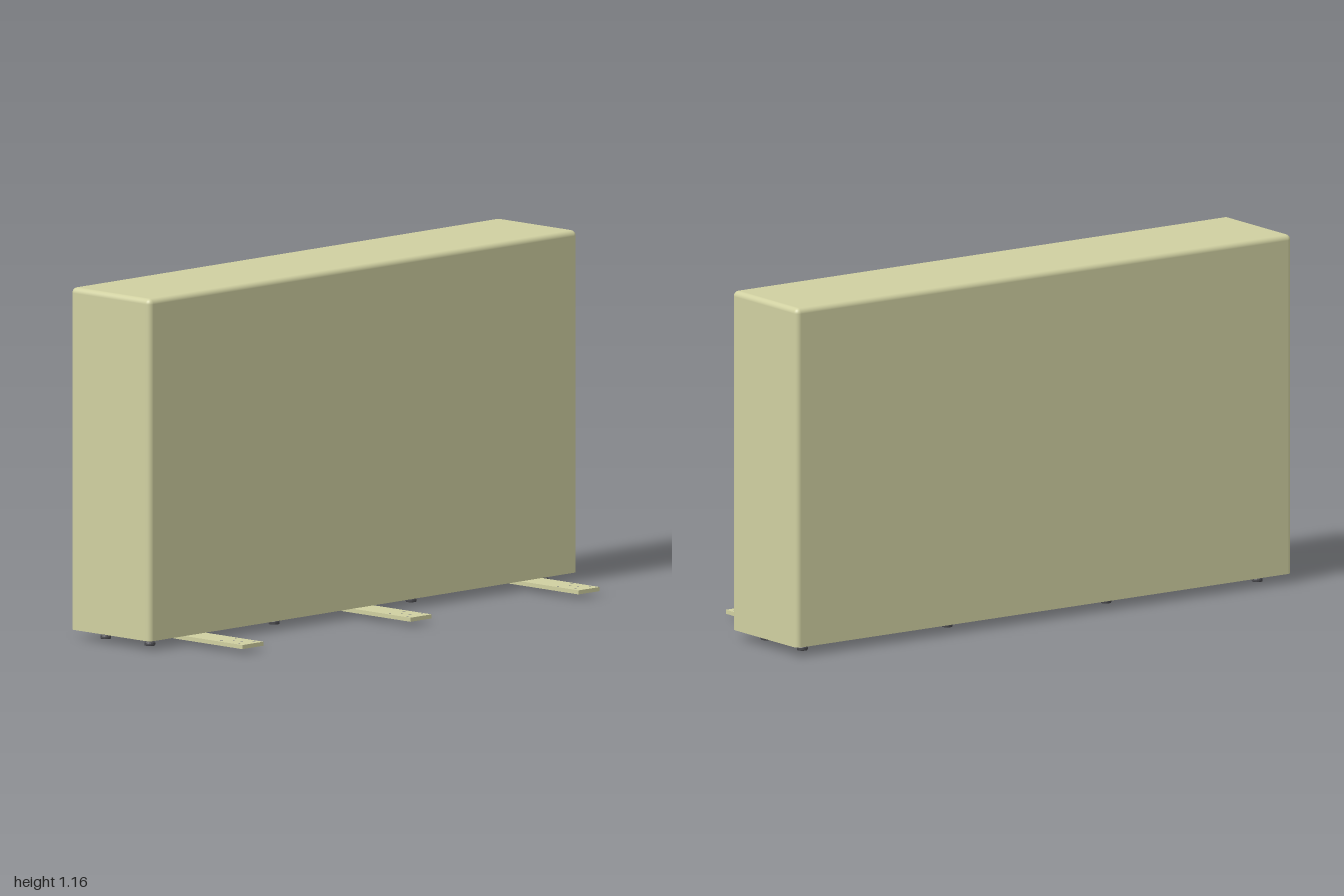
import * as THREE from 'three';
import { RoundedBoxGeometry } from 'three/addons/geometries/RoundedBoxGeometry.js';

const cream = new THREE.MeshStandardMaterial({ color: 0xd0d0a1 });
cream.name = 'cream paint';
const dark = new THREE.MeshStandardMaterial({ color: 0x4c4c50 });
dark.name = 'dark rubber';

const BOTTOM = 0.03, TOP = 1.163;

// Cabinet: rounded on the top and upright edges, cut flat underneath
function cabinetGeometry() {
  const h = TOP - BOTTOM, r = 0.018;
  const geo = new RoundedBoxGeometry(2, h, 0.364, 4, r);
  const p = geo.attributes.position, n = geo.attributes.normal;
  const low = i => p.getY(i) < -h / 2 + r + 1e-4;
  for (let i = 0; i < p.count; i += 3) {
    const tri = [i, i + 1, i + 2];
    const under = tri.every(low);
    for (const k of tri) {
      if (!low(k)) continue;
      if (under) n.setXYZ(k, 0, -1, 0);
      p.setY(k, -h / 2);
    }
  }
  geo.translate(0, BOTTOM + h / 2, -0.131);
  return geo;
}

// Floor bracket: drilled flat plate
function plateGeometry() {
  const s = new THREE.Shape();
  s.moveTo(-0.049, 0).lineTo(0.049, 0).lineTo(0.049, -0.313).lineTo(-0.049, -0.313).closePath();
  const holes = [[-0.033, 0.203], [0.033, 0.203], [0, 0.227], [0, 0.262], [-0.033, 0.285], [0.033, 0.285]];
  for (const [x, z] of holes) {
    const hole = new THREE.Path();
    hole.absarc(x, -z, 0.005, 0, Math.PI * 2, true);
    s.holes.push(hole);
  }
  const geo = new THREE.ExtrudeGeometry(s, { depth: 0.0135, bevelEnabled: false, curveSegments: 8 });
  return geo.rotateX(-Math.PI / 2).translate(0, 0.016, 0);
}

// Upturned rear end of the bracket; shape x runs toward the back
function lipGeometry() {
  const s = new THREE.Shape();
  s.moveTo(0, 0.016);
  s.quadraticCurveTo(0.009, 0.0165, 0.014, 0.0295);
  s.lineTo(0, 0.0295).closePath();
  const geo = new THREE.ExtrudeGeometry(s, { depth: 0.098, bevelEnabled: false, curveSegments: 8 });
  return geo.rotateY(Math.PI / 2).translate(-0.049, 0, 0);
}

// Levelling foot: pad, tapered collar and threaded stem
function footGeometry() {
  const pts = [[0, 0], [0.017, 0], [0.018, 0.003], [0.018, 0.009], [0.016, 0.012],
    [0.011, 0.014], [0.01, 0.02], [0.006, 0.021], [0.006, BOTTOM + 0.002]];
  // doubled points keep the rims crisp
  const profile = pts.flatMap(([x, y]) => [new THREE.Vector2(x, y), new THREE.Vector2(x, y)]);
  return new THREE.LatheGeometry(profile.filter((v, i) => i % 2 === 0), 20).toNonIndexed();
}

export function createModel() {
  const model = new THREE.Group();
  model.name = 'cabinet';
  const add = (parent, name, geo, mat) => {
    const mesh = new THREE.Mesh(geo, mat);
    mesh.name = name;
    parent.add(mesh);
    return mesh;
  };

  add(model, 'cabinetBody', cabinetGeometry(), cream);

  const plate = plateGeometry(), lip = lipGeometry();
  for (const x of [-0.785, 0, 0.785]) {
    const bracket = new THREE.Group();
    bracket.name = 'floorBracket';
    add(bracket, 'bracketPlate', plate, cream);
    add(bracket, 'bracketLip', lip, cream);
    bracket.position.x = x;
    model.add(bracket);
  }

  const foot = footGeometry();
  foot.computeVertexNormals();
  for (const side of [-1, 1]) {
    for (const [x, zs] of [[0.918, [-0.028, -0.23]], [0.32, [-0.046, -0.212]]]) {
      for (const z of zs) add(model, 'levellingFoot', foot, dark).position.set(side * x, 0, z);
    }
  }
  return model;
}
